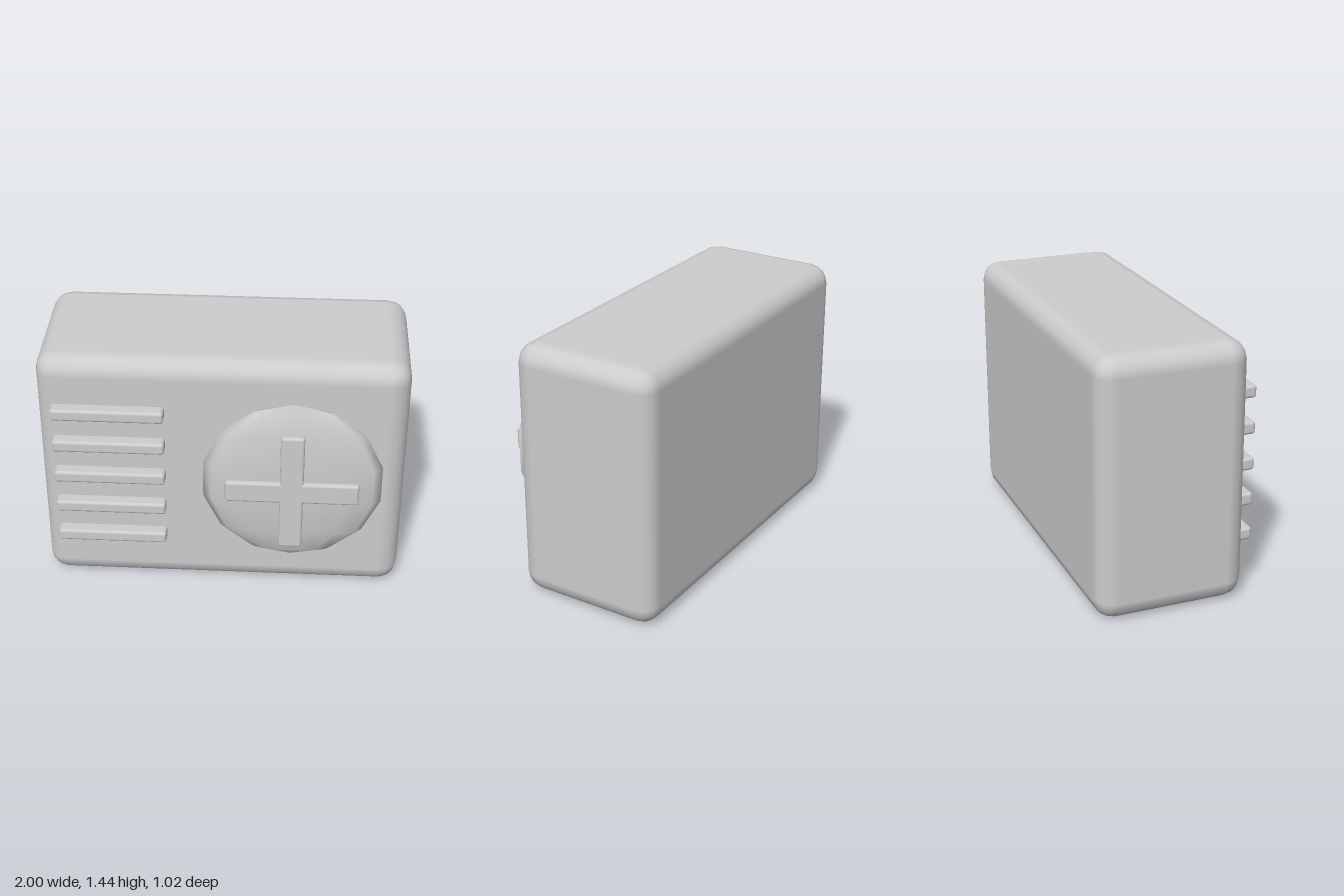
import * as THREE from 'three';
import { RoundedBoxGeometry } from 'three/addons/geometries/RoundedBoxGeometry.js';

export function createModel() {
  const model = new THREE.Group();
  model.name = 'radio';
  const grey = new THREE.MeshStandardMaterial({ color: 0xcccccc });
  grey.name = 'light grey';

  // Rounded box given by its lower and upper corners
  function roundedBox(name, min, max, radius, segments, parent = model) {
    const size = max.map((v, i) => v - min[i]);
    const mesh = new THREE.Mesh(new RoundedBoxGeometry(...size, segments, radius), grey);
    mesh.position.set(...max.map((v, i) => (v + min[i]) / 2));
    mesh.name = name;
    parent.add(mesh);
    return mesh;
  }

  // Case
  roundedBox('body', [-1, 0, -0.508], [1, 1.444, 0.325], 0.11, 2);

  // Grille of five horizontal bars
  const grille = new THREE.Group();
  grille.name = 'grille';
  model.add(grille);
  for (let i = 0; i < 5; i++) {
    const y = 0.335 + i * 0.201;
    roundedBox('grilleBar', [-0.915, y - 0.035, 0.27], [-0.308, y + 0.035, 0.393], 0.017, 2, grille);
  }

  // Flattened dial, poles up and down
  const dial = new THREE.Mesh(new THREE.SphereGeometry(0.497, 14, 7), grey);
  dial.scale.z = 0.163;
  dial.position.set(0.387, 0.76, 0.389);
  dial.name = 'dial';
  model.add(dial);

  // Raised cross in front of the dial
  const cross = new THREE.Group();
  cross.name = 'dialCross';
  model.add(cross);
  roundedBox('crossBar', [0.026, 0.697, 0.469], [0.746, 0.824, 0.508], 0.015, 2, cross);
  roundedBox('crossUpright', [0.321, 0.398, 0.469], [0.448, 1.12, 0.508], 0.015, 2, cross);

  return model;
}
